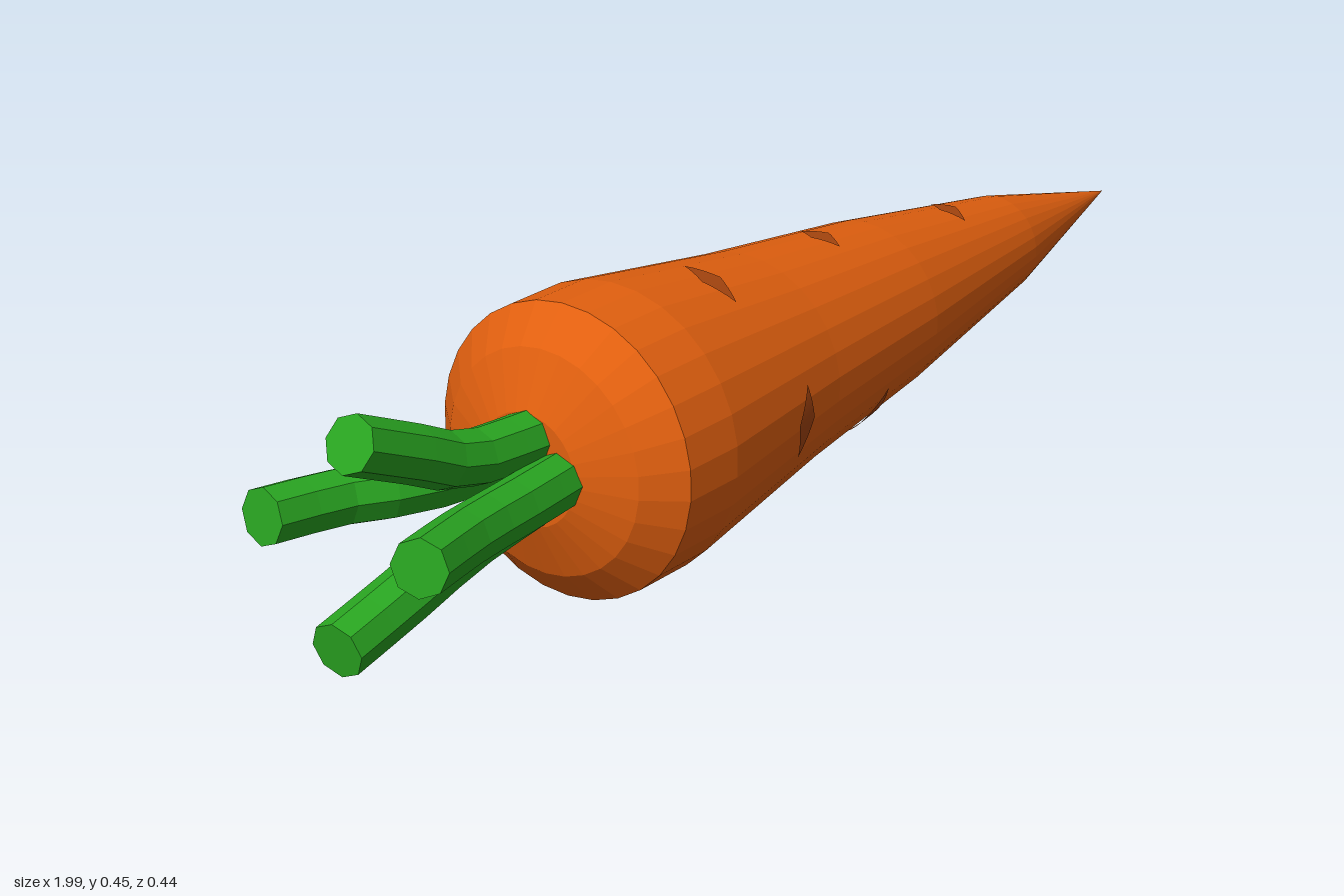
import * as THREE from 'three';

const AXIS_Y = 0.225;
// Root outline as [x, radius], from the crown to the tip
const PROFILE = [[-0.585, 0], [-0.585, 0.085], [-0.55, 0.17], [-0.5, 0.223], [-0.39, 0.223],
  [-0.07, 0.177], [0.25, 0.141], [0.64, 0.081], [0.99, 0]];

function radiusAt(x) {
  for (let i = 2; i < PROFILE.length; i++) {
    const [x0, r0] = PROFILE[i - 1], [x1, r1] = PROFILE[i];
    if (x <= x1) return r0 + (r1 - r0) * (x - x0) / (x1 - x0);
  }
  return 0;
}

// Thin diamond mark that hugs the root; angle is measured from the top towards +z
function markGeometry(x, angle, halfLength, halfWidth) {
  const steps = 8, positions = [], indices = [];
  const spread = halfLength / radiusAt(x);
  for (let i = 0; i <= steps; i++) {
    const t = (i / steps) * 2 - 1;
    const a = angle + t * spread;
    for (const side of [-1, 1]) {
      const px = x + side * halfWidth * (1 - Math.abs(t)) - t * 0.008;
      const r = radiusAt(px) + 0.002;
      positions.push(px, AXIS_Y + r * Math.cos(a), r * Math.sin(a));
    }
    if (i < steps) {
      const k = i * 2;
      indices.push(k, k + 2, k + 1, k + 1, k + 2, k + 3);
    }
  }
  const geometry = new THREE.BufferGeometry();
  geometry.setAttribute('position', new THREE.Float32BufferAttribute(positions, 3));
  geometry.setIndex(indices);
  geometry.computeVertexNormals();
  return geometry;
}

export function createModel() {
  const model = new THREE.Group();
  model.name = 'carrot';
  const material = (name, color, extra) => {
    const m = new THREE.MeshStandardMaterial({ color, ...extra });
    m.name = name;
    return m;
  };
  const orange = material('carrotOrange', 0xe2600f, { flatShading: true });
  const darkOrange = material('markOrange', 0xa8460f, { side: THREE.DoubleSide });
  const green = material('stemGreen', 0x2aa822, { flatShading: true });
  const add = (parent, name, geometry, mat) => {
    const mesh = new THREE.Mesh(geometry, mat);
    mesh.name = name;
    parent.add(mesh);
    return mesh;
  };

  // Root, turned about the x axis
  const outline = PROFILE.map(([x, r]) => new THREE.Vector2(r, x));
  const rootGeometry = new THREE.LatheGeometry(outline, 30, Math.PI / 2);
  rootGeometry.rotateZ(-Math.PI / 2);
  add(model, 'root', rootGeometry, orange).position.y = AXIS_Y;

  // Skin marks: x, angle in degrees, half length
  const marks = new THREE.Group();
  marks.name = 'skinMarks';
  model.add(marks);
  [[-0.23, 17, 0.055], [0.115, 4, 0.043], [0.47, 8, 0.04], [-0.18, 94, 0.055], [0.095, 131, 0.055],
    [-0.18, -51, 0.052], [0.13, -95, 0.043], [0.4, -136, 0.04], [-0.25, -130, 0.055]]
    .forEach(([x, degrees, length], i) => {
      add(marks, `skinMark${i + 1}`,
        markGeometry(x, THREE.MathUtils.degToRad(degrees), length, 0.024), darkOrange);
    });

  // Leaf stems: bent eight-sided tubes with capped ends
  const stemPaths = {
    upperStem: [[-0.56, 0.27, 0], [-0.73, 0.287, 0], [-0.83, 0.33, 0], [-0.945, 0.38, 0]],
    lowerStem: [[-0.56, 0.182, 0], [-0.72, 0.162, 0], [-0.86, 0.128, 0], [-0.992, 0.103, 0.005]],
    leftStem: [[-0.56, 0.22, 0.05], [-0.7, 0.224, 0.07], [-0.83, 0.234, 0.095], [-0.975, 0.25, 0.14]],
    rightStem: [[-0.56, 0.22, -0.065], [-0.73, 0.229, -0.085], [-0.83, 0.237, -0.126], [-0.967, 0.25, -0.143]],
  };
  for (const [name, points] of Object.entries(stemPaths)) {
    const stem = new THREE.Group();
    stem.name = name;
    model.add(stem);
    const curve = new THREE.CatmullRomCurve3(points.map((p) => new THREE.Vector3(...p)));
    const tube = new THREE.TubeGeometry(curve, 6, 0.042, 8);
    add(stem, `${name}Stalk`, tube, green);

    // End cap made from the last ring of the tube
    const ring = tube.attributes.position;
    const first = ring.count - 9;
    const end = curve.getPoint(1);
    const corners = [];
    const corner = (i) => [ring.getX(first + i), ring.getY(first + i), ring.getZ(first + i)];
    for (let i = 0; i < 8; i++) corners.push(...end.toArray(), ...corner(i + 1), ...corner(i));
    const cap = new THREE.BufferGeometry();
    cap.setAttribute('position', new THREE.Float32BufferAttribute(corners, 3));
    cap.computeVertexNormals();
    // Turn the cap outwards if its corners run the other way
    const normal = new THREE.Vector3().fromBufferAttribute(cap.attributes.normal, 0);
    if (normal.dot(curve.getTangent(1)) < 0) {
      cap.setIndex([...Array(24).keys()].map((k) => k - (k % 3) + 2 - (k % 3)));
      cap.computeVertexNormals();
    }
    add(stem, `${name}End`, cap, green);
  }
  return model;
}
